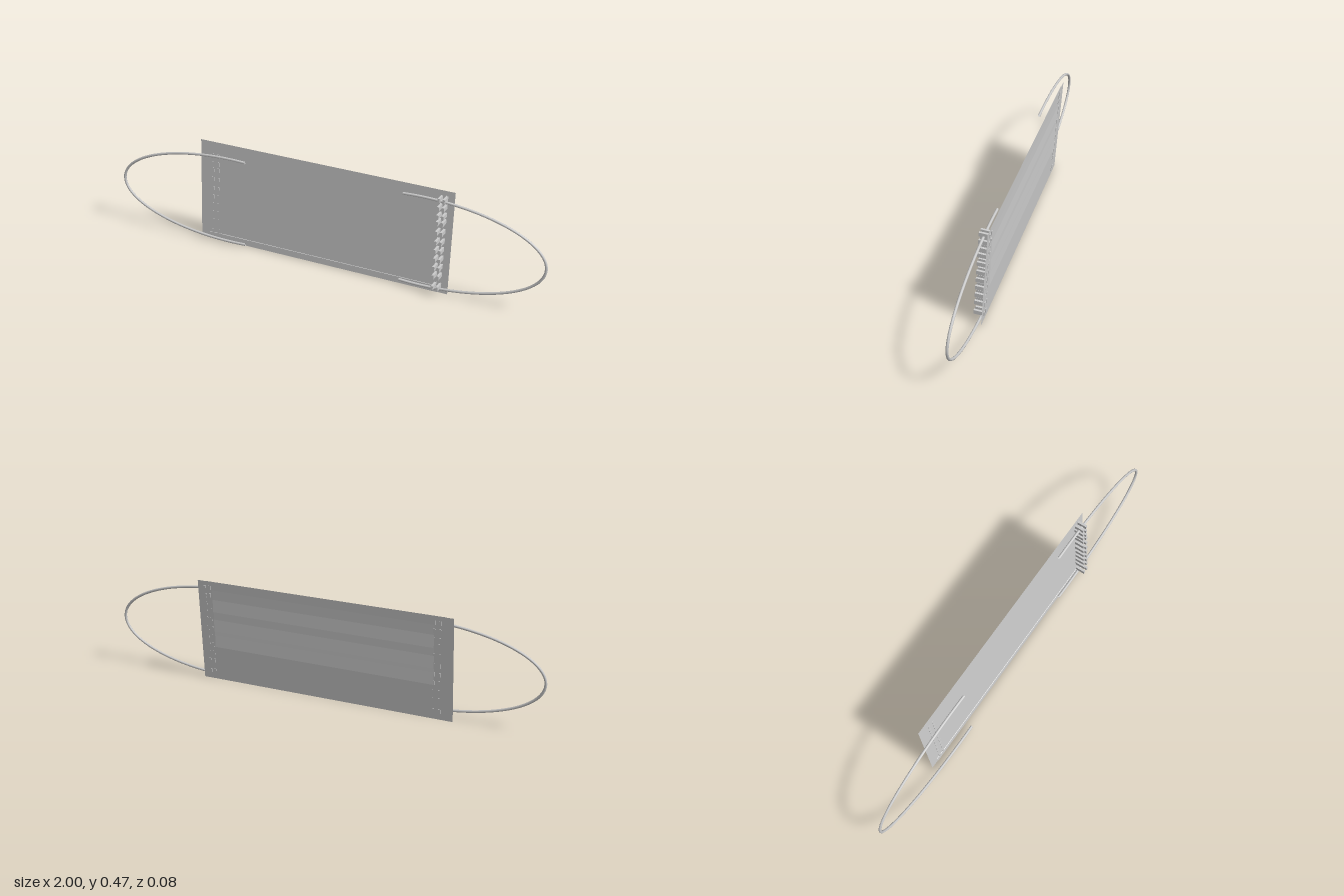
import * as THREE from 'three';

const LEFT = -0.615, RIGHT = 0.58, HEIGHT = 0.475;
// the cloth leans back slightly
const clothZ = (y) => -0.004 - 0.075 * y;

const material = new THREE.MeshStandardMaterial({ color: 0xcccccc, side: THREE.DoubleSide });

function add(group, name, geometry) {
  const mesh = new THREE.Mesh(geometry, material);
  mesh.name = name;
  group.add(mesh);
  return mesh;
}

// flat ribbon from a list of [y, offset from the cloth], spanning x0..x1
function ribbon(x0, x1, profile) {
  const position = [], index = [];
  profile.forEach(([y, offset], i) => {
    const z = clothZ(y) + offset;
    position.push(x0, y, z, x1, y, z);
    if (i > 0) {
      const a = 2 * i - 2;
      index.push(a, a + 1, a + 3, a, a + 3, a + 2);
    }
  });
  const geometry = new THREE.BufferGeometry();
  geometry.setAttribute('position', new THREE.Float32BufferAttribute(position, 3));
  geometry.setIndex(index);
  const flat = geometry.toNonIndexed();
  flat.computeVertexNormals();
  return flat;
}

// elastic ear loop: a little over half an ellipse, leaning with the cloth
function earLoop(side, z0, slope, cy, ry, endX) {
  const cx = 0.45, rx = 0.544;
  const end = Math.acos((endX - cx) / rx);
  const points = [];
  for (let i = 0; i <= 40; i++) {
    const t = -end + (2 * end * i) / 40;
    const y = cy + ry * Math.sin(t);
    points.push(new THREE.Vector3(side * (cx + rx * Math.cos(t)), y, z0 + slope * y));
  }
  return new THREE.TubeGeometry(new THREE.CatmullRomCurve3(points), 100, 0.006, 8, false);
}

export function createModel() {
  const mask = new THREE.Group();
  mask.name = 'faceMask';

  // plain front layer
  add(mask, 'frontCloth', ribbon(LEFT, RIGHT, [[0, 0], [HEIGHT, 0]]));

  // three overlapping pleats on the back, each ending in a small lip
  const pleats = [[0.045, -0.001]];
  for (const y of [0.16, 0.235, 0.33]) pleats.push([y, -0.001], [y + 0.002, -0.006], [y + 0.06, -0.002]);
  pleats.push([0.435, -0.001]);
  add(mask, 'backPleats', ribbon(-0.53, 0.51, pleats));

  // folded hems along the top and bottom edges
  add(mask, 'topHem', ribbon(-0.575, 0.535, [[0.437, 0], [0.438, 0.002], [HEIGHT, 0.002]]));
  add(mask, 'bottomHem', ribbon(-0.575, 0.535, [[0, 0.002], [0.029, 0.002], [0.03, 0]]));

  // ear loops
  add(mask, 'leftEarLoop', earLoop(1, 0.005, -0.04, 0.23, 0.21, 0.36));
  add(mask, 'rightEarLoop', earLoop(-1, 0.036, -0.06, 0.23, 0.203, 0.37));

  // two rows of stitches per side: raised on the left, nearly flush on the right
  const stitches = new THREE.Group();
  stitches.name = 'stitches';
  mask.add(stitches);
  const rows = [0.038, 0.09, 0.13, 0.17, 0.21, 0.25, 0.295, 0.34, 0.37, 0.408, 0.445];
  rows.forEach((y, i) => {
    const corner = i < 2 || i > 8;
    for (const column of [-1, 1]) {
      const raised = add(stitches, 'leftStitch', new THREE.BoxGeometry(0.01, 0.019, 0.045));
      raised.position.set(0.534 + 0.011 * column, y, clothZ(y) + 0.0215);
      raised.rotation.x = -0.075;
      const flush = add(stitches, 'rightStitch', new THREE.BoxGeometry(0.01, 0.019, 0.004));
      flush.position.set(-0.542 + 0.013 * column, y, clothZ(y));
      flush.rotation.x = -0.075;
      if (!corner) continue;
      // corner stitches show through on the back
      const back = add(stitches, 'backStitch', new THREE.BoxGeometry(0.01, 0.019, 0.004));
      back.position.set(0.534 + 0.011 * column, y, clothZ(y) - 0.001);
      back.rotation.x = -0.075;
    }
  });

  return mask;
}
